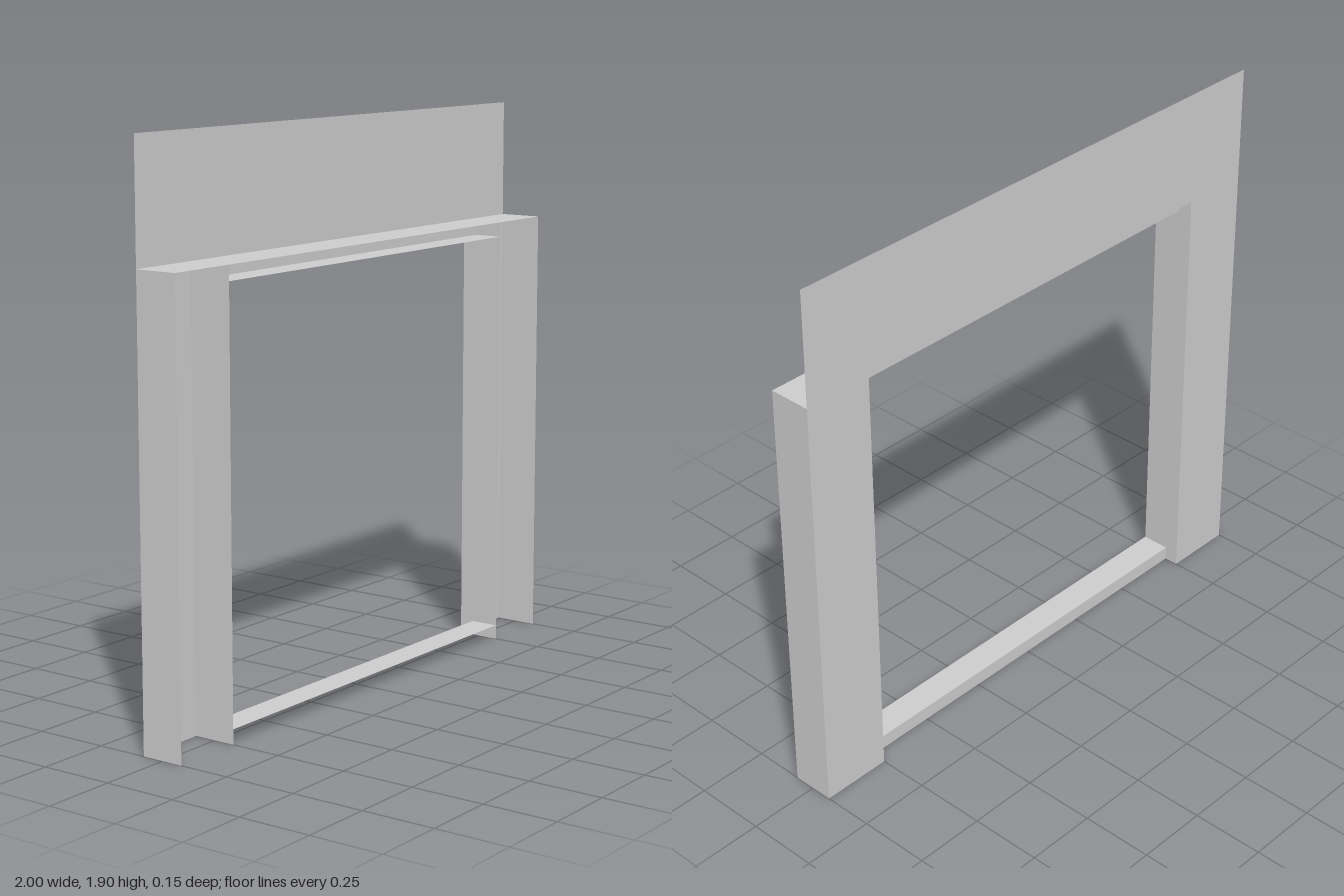
import * as THREE from 'three';

const BACK = -0.075, FRONT = 0.075, LIP = -0.025; // depths of panel, fin edge and inner rails
const OUTER = 1, INNER = 0.75, TOP = 1.9, HEAD = 1.5, RAIL = 0.05;

export function createModel() {
  const group = new THREE.Group();
  const material = new THREE.MeshStandardMaterial({ color: 0xcccccc, side: THREE.DoubleSide });

  const add = (name, geometry, x, y, z) => {
    const mesh = new THREE.Mesh(geometry, material);
    mesh.name = name;
    mesh.position.set(x, y, z);
    group.add(mesh);
  };
  // Thin sheets: upright across x, flat, and upright along z
  const upright = (name, width, y0, y1, z) =>
    add(name, new THREE.PlaneGeometry(width, y1 - y0), 0, (y0 + y1) / 2, z);
  const flat = (name, width, y, z0, z1) =>
    add(name, new THREE.PlaneGeometry(width, z1 - z0).rotateX(-Math.PI / 2), 0, y, (z0 + z1) / 2);
  const fin = (name, x) =>
    add(name, new THREE.PlaneGeometry(FRONT - BACK, HEAD).rotateY(Math.sign(x) * Math.PI / 2),
      x, HEAD / 2, (FRONT + BACK) / 2);

  // Back panel with the doorway cut out of its lower edge
  const outline = [
    [-OUTER, 0], [-INNER, 0], [-INNER, HEAD], [INNER, HEAD],
    [INNER, 0], [OUTER, 0], [OUTER, TOP], [-OUTER, TOP],
  ].map(([x, y]) => new THREE.Vector2(x, y));
  add('backPanel', new THREE.ShapeGeometry(new THREE.Shape(outline)), 0, 0, BACK);

  // Jamb fins on both sides
  for (const [side, s] of [['left', 1], ['right', -1]]) {
    fin(side + 'OuterFin', s * OUTER);
    fin(side + 'InnerFin', s * INNER);
  }

  // Ledge over the jambs
  flat('headLedge', 2 * OUTER, HEAD, BACK, FRONT);

  // L-shaped rails across the opening, at the head and at the sill
  upright('headRailFace', 2 * INNER, HEAD - RAIL, HEAD, LIP);
  flat('headRailFlange', 2 * INNER, HEAD - RAIL, LIP, FRONT);
  upright('sillFace', 2 * INNER, 0, RAIL, LIP);
  flat('sillFlange', 2 * INNER, RAIL, LIP, FRONT);

  return group;
}
